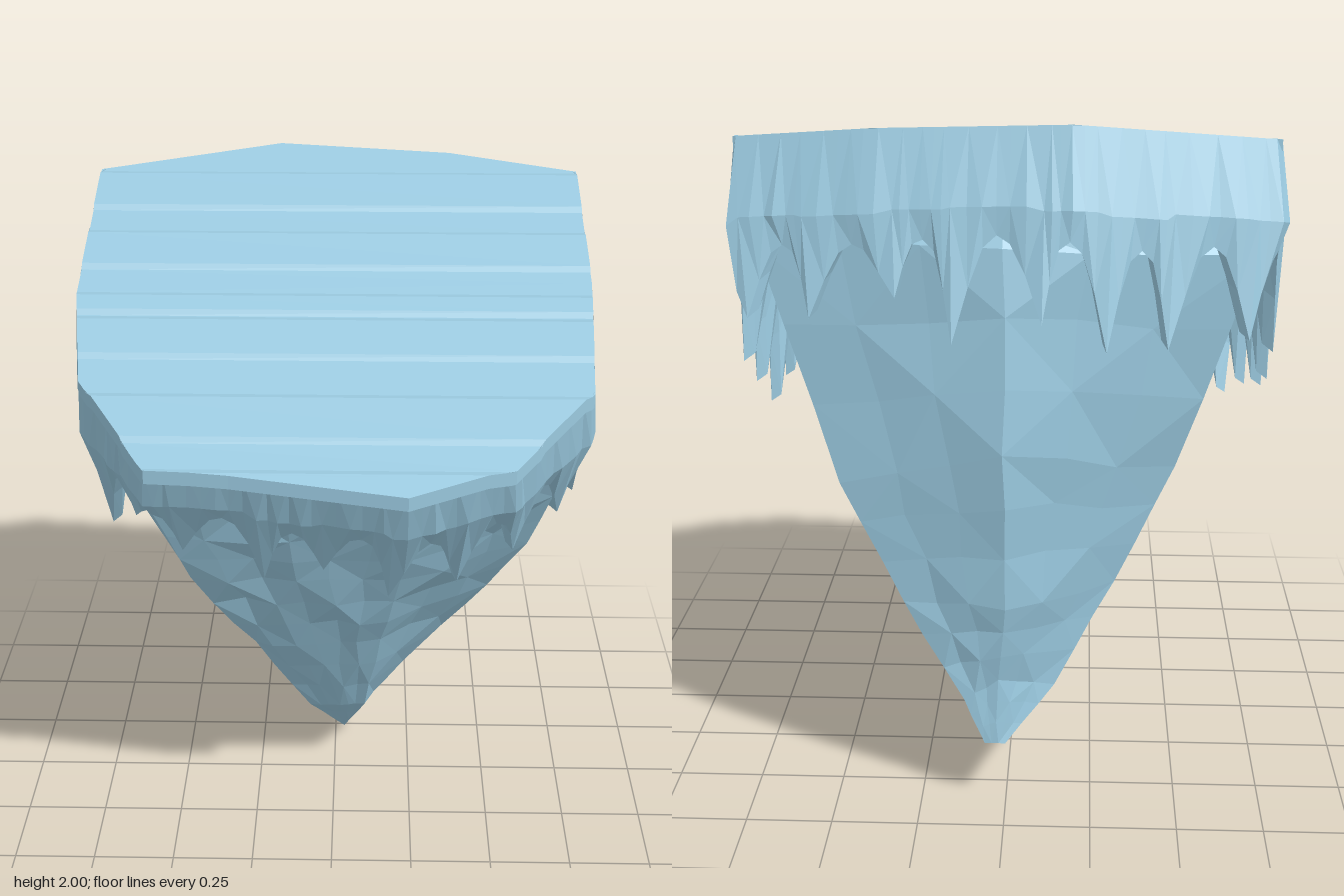
import * as THREE from 'three';

const ice = new THREE.MeshStandardMaterial({ color: 0x9ac9df, flatShading: true, side: THREE.DoubleSide });
ice.name = 'pale ice blue';

// Small seeded noise in -1..1
const noise = (a, b = 0) => {
  const s = Math.sin(a * 127.1 + b * 311.7 + 4.3) * 43758.5453;
  return (s - Math.floor(s)) * 2 - 1;
};
const lerp = (a, b, t) => a + (b - a) * t;
const mix = (p, q, t) => p.map((v, i) => lerp(v, q[i], t));

// Skin a list of point rows; rows run bottom to top as seen from outside
function skin(name, rows, closed) {
  const n = rows[0].length, index = [];
  for (let i = 0; i < rows.length - 1; i++) {
    for (let j = 0; j < (closed ? n : n - 1); j++) {
      const k = (j + 1) % n;
      const a = i * n + j, b = i * n + k, c = b + n, d = a + n;
      if ((i + j) % 2) index.push(a, b, c, a, c, d);
      else index.push(a, b, d, b, c, d);
    }
  }
  const g = new THREE.BufferGeometry();
  g.setAttribute('position', new THREE.Float32BufferAttribute(rows.flat(2), 3));
  g.setIndex(index);
  g.computeVertexNormals();
  const mesh = new THREE.Mesh(g, ice);
  mesh.name = name;
  return mesh;
}

// Plan outline of the cap as x, z, counterclockwise from above
const outline = [
  [-0.5, 0.67], [-0.27, 0.69], [0.21, 0.755], [0.5, 0.655], [0.73, 0.4], [0.755, 0],
  [0.745, -0.46], [0.35, -0.54], [-0.18, -0.58], [-0.74, -0.46], [-0.755, 0.05], [-0.71, 0.37],
];

// Sloping top with shallow terraces: flat ledges and steep risers in turn
const ledges = [-0.44, -0.19, 0.055, 0.145, 0.42, 0.67];
const risers = [-0.29, -0.05, 0.125, 0.285, 0.57];
const stepWidth = 0.022, riserWidth = 0.012;
const ramp = (t) => Math.min(1, Math.max(0, t));
function topY(z) {
  let lift = 0;
  for (const l of ledges) lift += ramp((z - l) / stepWidth + 0.5);
  for (const r of risers) lift -= ramp((z - r) / riserWidth + 0.5);
  return 1.738 - 0.448 * z + lift * 0.011;
}

// Left and right ends of the outline at depth z
function span(z) {
  const xs = [];
  outline.forEach(([x0, z0], i) => {
    const [x1, z1] = outline[(i + 1) % outline.length];
    if (z0 !== z1 && z >= Math.min(z0, z1) && z <= Math.max(z0, z1)) xs.push(lerp(x0, x1, (z - z0) / (z1 - z0)));
  });
  return [Math.min(...xs), Math.max(...xs)];
}

function makeTop() {
  const zs = outline.map((p) => p[1]);
  for (const l of ledges) zs.push(l - stepWidth / 2, l + stepWidth / 2);
  for (const r of risers) zs.push(r - riserWidth / 2, r + riserWidth / 2);
  const rows = [...new Set(zs)].sort((a, b) => b - a).map((z) => {
    const [l, r] = span(z), y = topY(z);
    return [[l, y - 0.04, z], [l, y, z], [r, y, z], [r, y - 0.04, z]];
  });
  return skin('terracedTop', rows, false);
}

// Point on the outline at a fraction of its length
const path = new THREE.CurvePath();
outline.forEach((p, i) => {
  const q = outline[(i + 1) % outline.length];
  path.add(new THREE.LineCurve(new THREE.Vector2(...p), new THREE.Vector2(...q)));
});

// Snowy cap edge hanging down in pointed icicles
function makeFringe() {
  const teeth = 25, per = 6, shape = [0.04, 0.14, 0.5, 1, 0.5, 0.14];
  const rows = [[], [], [], [], [], []];
  for (let j = 0; j < teeth * per; j++) {
    const tooth = Math.floor(j / per);
    const p = path.getPoint((j + noise(tooth, 5) * 0.8 * shape[j % per]) / (teeth * per));
    const front = ramp((p.y - 0.15) / 0.4), back = ramp((-p.y - 0.3) / 0.15);
    const gap = lerp(0.28, 0.2, front) + 0.03 * noise(Math.floor((j + 3) / per) % teeth, 2);
    const length = lerp(lerp(0.31, 0.22, back), 0.19, front) * (1 + 0.3 * noise(tooth, 3));
    const tip = gap + length * shape[j % per];
    const place = (drop, scale, wobble = 0) => {
      const s = scale + wobble * noise(j, drop);
      return [p.x * s, topY(p.y) - drop, p.y * s - lerp(0.33, 0.5, front) * drop];
    };
    rows[0].push(place(gap * 0.7, 0.8));
    rows[1].push(place(gap * 0.95, 0.9));
    rows[2].push(place(tip - 0.02, 0.95));
    rows[3].push(place(tip, 0.99));
    rows[4].push(place(gap * 0.75, 1.025, 0.008));
    rows[5].push(place(0, 1));
  }
  return skin('icicleFringe', rows, true);
}

// Tapering rock: edge lines from the keel upward, in order around the body
const edges = [
  [[0.03, 0, -0.24], [0.1, 0.28, 0.04], [0.15, 0.65, 0.23], [0.2, 0.96, 0.4], [0.26, 1.25, 0.55]],
  [[0.03, 0.02, -0.27], [0.19, 0.28, -0.18], [0.43, 0.65, 0], [0.59, 0.98, 0.2], [0.67, 1.3, 0.37]],
  [[0.06, 0.2, -0.63], [0.12, 0.34, -0.63], [0.29, 0.65, -0.62], [0.46, 1, -0.6], [0.68, 1.66, -0.53]],
  [[0.03, 0.2, -0.63], [0.02, 0.4, -0.62], [0, 0.65, -0.67], [0, 1.12, -0.71], [0, 1.68, -0.64]],
  [[0, 0.2, -0.63], [-0.14, 0.35, -0.54], [-0.31, 0.65, -0.46], [-0.48, 1, -0.43], [-0.69, 1.62, -0.45]],
  [[0.03, 0.02, -0.27], [-0.17, 0.34, -0.2], [-0.33, 0.65, -0.02], [-0.52, 1, 0.16], [-0.68, 1.36, 0.32]],
  [[0.03, 0, -0.24], [-0.08, 0.28, 0.04], [-0.24, 0.65, 0.26], [-0.41, 0.98, 0.44], [-0.5, 1.25, 0.54]],
  [[0.03, 0, -0.24], [0.02, 0.28, 0.05], [-0.05, 0.65, 0.26], [-0.1, 0.98, 0.45], [-0.12, 1.25, 0.58]],
];

function makeRock() {
  // Carry every edge up inside the cap
  const lines = edges.map((e) => {
    const [x, , z] = e[4];
    return [...e, [x * 0.9, topY(z * 0.85) - 0.12, z * 0.85]];
  });
  const rows = [], sub = 3, count = lines.length * sub;
  for (let i = 0; i <= 5 * sub; i++) {
    const r = Math.min(4, Math.floor(i / sub)), t = i / sub - r;
    const row = [];
    for (let j = 0; j < count; j++) {
      const c = Math.floor(j / sub);
      const a = lines[c], b = lines[(c + 1) % lines.length];
      const p = mix(mix(a[r], a[r + 1], t), mix(b[r], b[r + 1], t), (j % sub) / sub);
      // Chipped surface, calmer along the main edges and at the keel
      const amp = (j % sub ? 0.012 : 0.005) * Math.min(1, i / 6);
      row.push(p.map((v, k) => v + amp * noise(i * 31 + j, k + 1)));
    }
    rows.push(row);
  }
  // Close the keel
  rows.unshift(rows[0].map(() => [0.03, 0.1, -0.45]));
  return skin('taperedRock', rows, true);
}

export function createModel() {
  const group = new THREE.Group();
  group.name = 'floatingIceRock';
  group.add(makeTop(), makeFringe(), makeRock());
  return group;
}
